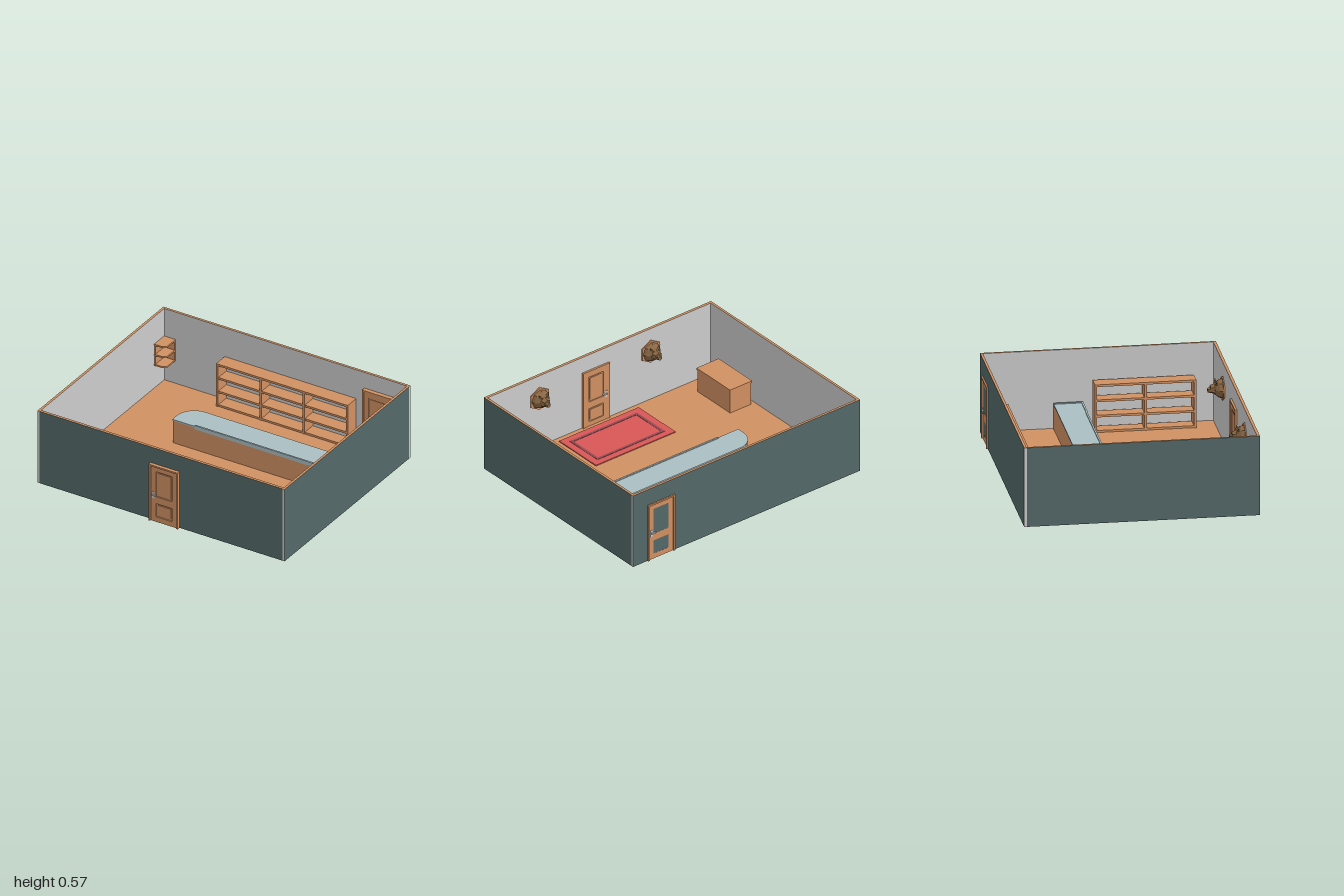
import * as THREE from 'three';

const mat = (color, extra = {}) => {
  const m = new THREE.MeshStandardMaterial({ color, ...extra });
  return m;
};
const wood = mat(0xd09062);
const teal = mat(0x546868);
const grey = mat(0xcccccc);
const blue = mat(0xaabec2);
const red = mat(0xd95757);
const darkRed = mat(0x8f4a50);
const hide = mat(0x8a6844, { flatShading: true });

function add(parent, name, geometry, material) {
  const mesh = new THREE.Mesh(geometry, material);
  mesh.name = name;
  parent.add(mesh);
  return mesh;
}

// Box given by its minimum and maximum corners
function box(parent, name, [x0, y0, z0], [x1, y1, z1], material) {
  const mesh = add(parent, name, new THREE.BoxGeometry(x1 - x0, y1 - y0, z1 - z0), material);
  mesh.position.set((x0 + x1) / 2, (y0 + y1) / 2, (z0 + z1) / 2);
  return mesh;
}

function group(parent, name) {
  const g = new THREE.Group();
  g.name = name;
  parent.add(g);
  return g;
}

function rect(path, x0, y0, x1, y1) {
  path.moveTo(x0, y0);
  path.lineTo(x1, y0);
  path.lineTo(x1, y1);
  path.lineTo(x0, y1);
  path.closePath();
  return path;
}

// Flat slab drawn in plan (x, -z) and raised from y0 by h
function slab(parent, name, shape, y0, h, material) {
  const geo = new THREE.ExtrudeGeometry(shape, { depth: h, bevelEnabled: false, curveSegments: 8 });
  geo.rotateX(-Math.PI / 2);
  const mesh = add(parent, name, geo, material);
  mesh.position.y = y0;
  return mesh;
}

// Panelled door with frame and a handle on both faces; outside faces +z, wall spans z -0.02 to 0
function makeDoor(parent, name) {
  const door = group(parent, name);
  for (const s of [-1, 1]) {
    const a = s * 0.105, b = s * 0.118;
    box(door, 'doorPost', [Math.min(a, b), 0, -0.035], [Math.max(a, b), 0.45, 0.026], wood);
  }
  box(door, 'doorLintel', [-0.105, 0.438, -0.035], [0.105, 0.45, 0.026], wood);
  const shape = rect(new THREE.Shape(), -0.105, 0, 0.105, 0.438);
  const openings = [[-0.064, 0.04, 0.066, 0.145], [-0.064, 0.2, 0.066, 0.4]];
  for (const o of openings) shape.holes.push(rect(new THREE.Path(), ...o));
  const leaf = add(door, 'doorLeaf', new THREE.ExtrudeGeometry(shape, { depth: 0.046, bevelEnabled: false }), wood);
  leaf.position.z = -0.03;
  for (const [x0, y0, x1, y1] of openings) {
    box(door, 'recess', [x0, y0, -0.023], [x1, y1, 0.006], wood);
    box(door, 'raisedPanel', [x0 + 0.012, y0 + 0.012, -0.027], [x1 - 0.012, y1 - 0.012, 0.011], wood);
  }
  for (const [z0, z1, z2] of [[0.016, 0.02, 0.03], [-0.034, -0.03, -0.044]]) {
    box(door, 'handlePlate', [-0.095, 0.185, z0], [-0.075, 0.235, z1], grey);
    box(door, 'handleLever', [-0.09, 0.207, Math.min(z1, z2)], [-0.055, 0.218, Math.max(z1, z2)], grey);
  }
  return door;
}

// Open bookcase standing at z 0 to depth, centred on x
function makeBookcase(parent, name, width, height, depth, bays, tiers) {
  const shelf = group(parent, name);
  const t = 0.016, w = width / 2;
  for (let i = 0; i <= bays; i++) {
    const x = -w + ((width - t) * i) / bays;
    box(shelf, 'upright', [x, 0, 0], [x + t, height - t, depth], wood);
  }
  for (let j = 0; j <= tiers; j++) {
    const y = ((height - t) * j) / tiers;
    const inset = j === tiers ? 0 : 0.004;
    box(shelf, 'shelfBoard', [-w + inset, y, inset], [w - inset, y + t, depth - inset], wood);
  }
  return shelf;
}

// Hunting trophy: shield against the wall, head reaching along -z
function makeTrophy(parent, x) {
  const trophy = group(parent, 'wallTrophy');
  trophy.position.set(x, 0.395, 0.788);
  const part = (name, rFront, rBack, len, sides, z, material) => {
    const geo = new THREE.CylinderGeometry(rFront, rBack, len, sides);
    geo.rotateX(-Math.PI / 2);
    const mesh = add(trophy, name, geo, material);
    mesh.position.z = z;
    return mesh;
  };
  part('shield', 0.09, 0.09, 0.008, 6, -0.004, wood);
  part('collar', 0.066, 0.072, 0.022, 8, -0.019, hide);
  part('neck', 0.04, 0.066, 0.03, 8, -0.045, hide);
  part('head', 0.028, 0.04, 0.03, 6, -0.075, hide);
  part('muzzle', 0.016, 0.024, 0.026, 6, -0.095, hide).position.y = -0.008;
  for (const s of [-1, 1]) {
    const ear = add(trophy, 'ear', new THREE.ConeGeometry(0.014, 0.045, 4), hide);
    ear.position.set(s * 0.034, 0.045, -0.05);
    ear.rotation.z = -s * 0.6;
  }
}

export function createModel() {
  const room = new THREE.Group();
  room.name = 'room';

  // Shell: outside painted, inside plain, timber rim; face order +x -x +y -y +z -z
  const H = 0.575;
  box(room, 'floor', [-0.982, 0, -0.812], [0.982, 0.005, 0.792], wood);
  box(room, 'frontWall', [-0.982, 0, 0.79], [0.982, H, 0.81], [grey, grey, wood, wood, teal, grey]);
  box(room, 'backWall', [-1, 0, -0.83], [1, H, -0.812], [grey, grey, wood, wood, grey, teal]);
  box(room, 'leftWall', [0.982, 0, -0.812], [1, H, 0.81], [teal, grey, wood, wood, grey, grey]);
  box(room, 'rightWall', [-1, 0, -0.812], [-0.982, H, 0.81], [grey, teal, wood, wood, grey, grey]);

  // Doors
  makeDoor(room, 'frontDoor').position.set(0.033, 0, 0.81);
  const backDoor = makeDoor(room, 'backDoor');
  backDoor.position.set(0.755, 0, -0.815);
  backDoor.rotation.y = Math.PI;

  // Counter with one rounded corner
  const counter = group(room, 'counter');
  const outline = (inset) => {
    const s = new THREE.Shape();
    const x0 = -0.49 + inset, x1 = 0.95, y0 = 0.125 + inset, y1 = 0.325 - inset, r = 0.14;
    s.moveTo(x0, y0);
    s.lineTo(x1, y0);
    s.lineTo(x1, y1);
    s.lineTo(x0 + r, y1);
    s.absarc(x0 + r, y1 - r, r, Math.PI / 2, Math.PI, false);
    s.closePath();
    return s;
  };
  slab(counter, 'counterBody', outline(0.003), 0.005, 0.178, wood);
  slab(counter, 'counterTop', outline(0), 0.183, 0.01, blue);
  box(counter, 'counterLip', [-0.31, 0.17, -0.136], [0.75, 0.2, -0.124], blue);
  box(counter, 'counterFlap', [0.75, 0.17, -0.133], [0.955, 0.2, -0.12], blue);
  box(counter, 'counterEnd', [0.944, 0.005, -0.325], [0.955, 0.2, -0.133], blue);

  // Bookcases against the back and left walls
  makeBookcase(room, 'backBookcase', 1.065, 0.342, 0.11, 3, 3).position.set(0.04, 0.004, -0.81);
  const side = makeBookcase(room, 'sideBookcase', 0.705, 0.35, 0.105, 2, 3);
  side.position.set(0.95, 0.004, 0.298);
  side.rotation.y = -Math.PI / 2;

  // Low chest by the right wall
  box(room, 'chest', [-0.95, 0.005, 0.305], [-0.765, 0.18, 0.665], wood);
  box(room, 'chestLid', [-0.955, 0.18, 0.3], [-0.76, 0.195, 0.67], wood);

  // Hanging corner shelf
  const corner = group(room, 'cornerShelf');
  const board = new THREE.Shape();
  board.moveTo(-0.982, 0.8);
  board.lineTo(-0.982, 0.68);
  board.lineTo(-0.925, 0.68);
  board.absarc(-0.925, 0.715, 0.035, -Math.PI / 2, 0, false);
  board.lineTo(-0.89, 0.8);
  for (const y of [0.185, 0.265, 0.345]) slab(corner, 'cornerBoard', board, y, 0.012, wood);
  box(corner, 'cornerBack', [-0.982, 0.185, -0.81], [-0.89, 0.357, -0.798], wood);
  box(corner, 'cornerSide', [-0.982, 0.186, -0.798], [-0.973, 0.356, -0.685], wood);

  // Rug with a darker border band
  box(room, 'rug', [-0.315, 0.001, 0.345], [0.385, 0.012, 0.75], red);
  const band = rect(new THREE.Shape(), -0.26, -0.7, 0.333, -0.393);
  band.holes.push(rect(new THREE.Path(), -0.24, -0.68, 0.313, -0.413));
  slab(room, 'rugBand', band, 0.01, 0.004, darkRed);

  // Trophies on the front wall
  for (const x of [-0.45, 0.53]) makeTrophy(room, x);

  return room;
}
